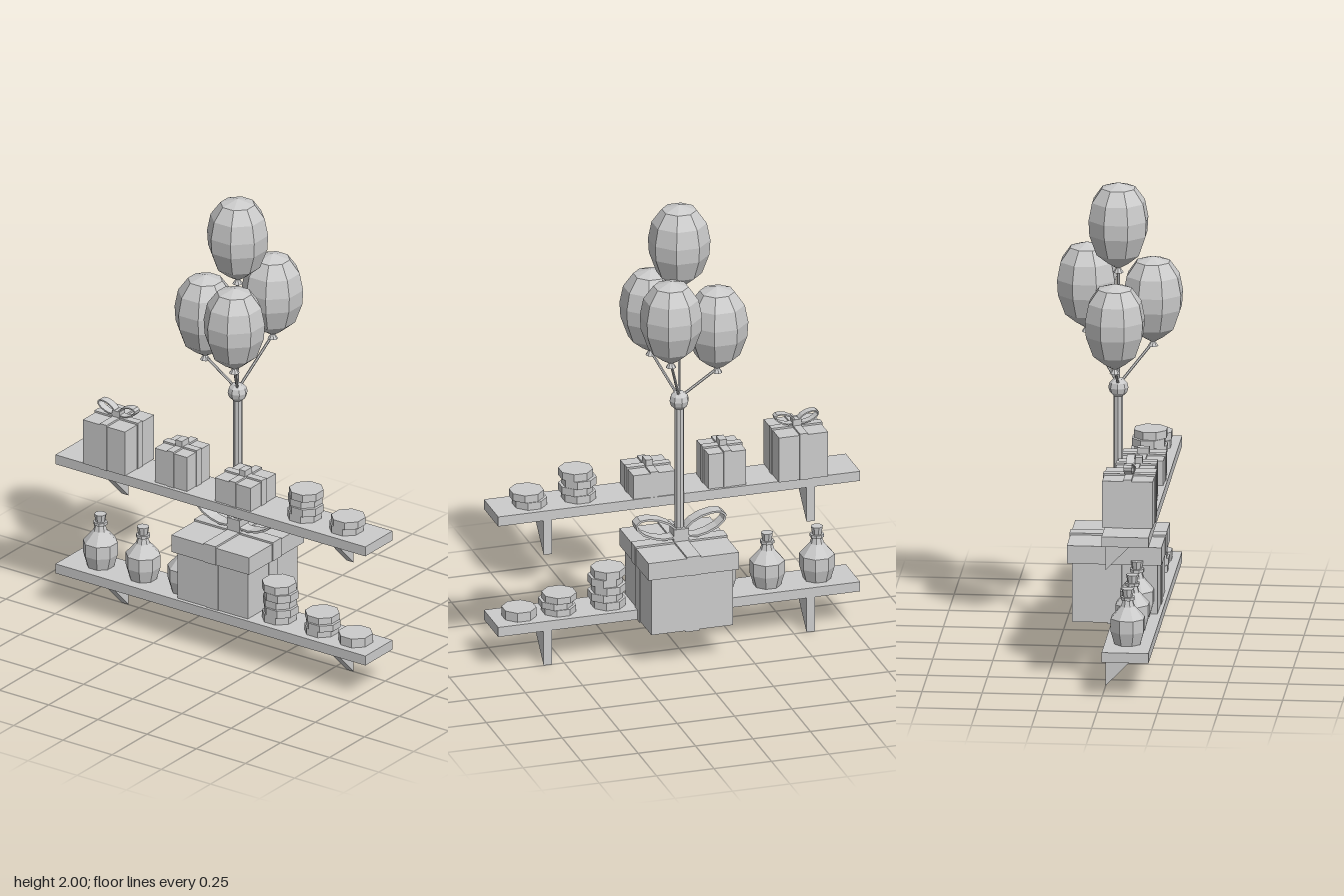
import * as THREE from 'three';

const mat = new THREE.MeshStandardMaterial({ color: 0xcccccc, flatShading: true, side: THREE.DoubleSide });

function add(parent, name, geo, x = 0, y = 0, z = 0) {
  const m = new THREE.Mesh(geo, mat);
  m.name = name;
  m.position.set(x, y, z);
  parent.add(m);
  return m;
}

function group(parent, name, x = 0, y = 0, z = 0) {
  const g = new THREE.Group();
  g.name = name;
  g.position.set(x, y, z);
  parent.add(g);
  return g;
}

const box = (w, h, d) => new THREE.BoxGeometry(w, h, d);

// Eight-sided turned shape with a flat side to the front
function turned(points) {
  return new THREE.LatheGeometry(points.map(p => new THREE.Vector2(p[0], p[1])), 8, Math.PI / 8);
}

// Straight rod between two points
function rod(parent, name, a, b, r) {
  const d = b.clone().sub(a);
  const m = add(parent, name, new THREE.CylinderGeometry(r, r, d.length(), 6));
  m.position.copy(a).addScaledVector(d, 0.5);
  m.quaternion.setFromUnitVectors(new THREE.Vector3(0, 1, 0), d.normalize());
}

// Flat board with a triangular bracket near each end
function shelf(parent, name, y) {
  const g = group(parent, name, 0, y, 0);
  add(g, 'board', box(1.575, 0.043, 0.195), 0, -0.0215, 0.0975);
  const tri = new THREE.Shape([[0, 0], [0.15, 0], [0, -0.154]].map(p => new THREE.Vector2(...p)));
  for (const s of [-1, 1]) {
    const geo = new THREE.ExtrudeGeometry(tri, { depth: 0.036, bevelEnabled: false });
    geo.translate(0, 0, -0.018).rotateY(-Math.PI / 2);
    add(g, 'bracket', geo, s * 0.572, -0.043, 0);
  }
}

// Two tilted ribbon loops and a knot
function bow(parent, y, reach, rise, width, thick, knotW, knotH) {
  const g = group(parent, 'bow', 0, y, 0);
  const a = reach * 0.5, b = rise * 0.36, tilt = Math.atan2(rise * 0.55, reach);
  const ring = new THREE.Shape().absellipse(0, 0, a, b, 0, Math.PI * 2, false, 0);
  ring.holes.push(new THREE.Path().absellipse(0, 0, a - thick, b - thick, 0, Math.PI * 2, true, 0));
  for (const s of [-1, 1]) {
    const geo = new THREE.ExtrudeGeometry(ring, { depth: width, bevelEnabled: false, curveSegments: 6 });
    geo.translate(0, 0, -width / 2).rotateZ(s * tilt);
    add(g, 'bowLoop', geo, s * reach * 0.54, rise * 0.54, 0);
  }
  add(g, 'knot', box(knotW, knotH, width * 1.15), 0, knotH / 2, 0);
}

// Two crossing ribbon bands around a box
function bands(parent, w, h, d, band, y = 0) {
  const e = 0.008;
  add(parent, 'ribbon', box(band, h + e, d + e), 0, y + (h + e) / 2, 0);
  add(parent, 'ribbon', box(w + e, h + e, band), 0, y + (h + e) / 2, 0);
}

function gift(parent, x, y, w, h, d) {
  const g = group(parent, 'gift', x, y, 0.095);
  add(g, 'giftBox', box(w, h, d), 0, h / 2, 0);
  bands(g, w, h, d, 0.034);
  return g;
}

// Pile of slightly shifted eight-sided discs
function stack(parent, x, y, n, height) {
  const g = group(parent, 'discStack', x, y, 0.095);
  const t = height / n;
  for (let i = 0; i < n; i++) {
    const geo = new THREE.CylinderGeometry(0.073, 0.073, t, 8).rotateY(Math.PI / 8);
    add(g, 'disc', geo, 0.006 * (i % 2 ? 1 : -1), t * (i + 0.5), 0.005 * Math.sin(i * 2.3));
  }
}

function bottle(parent, x, y) {
  const g = group(parent, 'bottle', x, y, 0.095);
  add(g, 'flask', turned([[0, 0], [0.058, 0], [0.074, 0.055], [0.074, 0.11], [0.03, 0.16], [0.022, 0.185],
    [0.03, 0.187], [0.03, 0.2], [0, 0.2]]));
  add(g, 'stopper', new THREE.CylinderGeometry(0.026, 0.02, 0.036, 8), 0, 0.216, 0);
}

function balloon(parent, x, top, z) {
  const g = group(parent, 'balloon', x, top, z);
  add(g, 'balloonBody', turned([[0.012, -0.365], [0.045, -0.345], [0.095, -0.305], [0.126, -0.22], [0.13, -0.155],
    [0.115, -0.08], [0.073, -0.022], [0, 0]]));
  add(g, 'balloonKnot', new THREE.CylinderGeometry(0.006, 0.022, 0.024, 8), 0, -0.374, 0);
  rod(parent, 'string', new THREE.Vector3(0, 1.13, 0), new THREE.Vector3(x, top - 0.37, z), 0.006);
}

export function createModel() {
  const model = new THREE.Group();
  model.name = 'giftShelves';
  const low = 0.197, high = 0.695;
  shelf(model, 'lowerShelf', low);
  shelf(model, 'upperShelf', high);

  // Large present with lid, ribbons and bow
  const big = group(model, 'largeGift', 0, 0.155, 0);
  add(big, 'giftBox', box(0.356, 0.27, 0.356), 0, 0.135, 0);
  add(big, 'lid', box(0.394, 0.077, 0.394), 0, 0.294, 0);
  bands(big, 0.356, 0.26, 0.356, 0.06, -0.004);
  bands(big, 0.394, 0.077, 0.394, 0.06, 0.2555);
  bow(big, 0.335, 0.195, 0.125, 0.055, 0.009, 0.065, 0.06);

  // Balloon bunch tied to a pole
  const bunch = group(model, 'balloonBunch');
  add(bunch, 'pole', new THREE.CylinderGeometry(0.02, 0.02, 0.64, 8), 0, 0.8, 0);
  add(bunch, 'tie', new THREE.SphereGeometry(0.042, 8, 6), 0, 1.12, 0);
  for (const b of [[0, 2, 0], [-0.165, 1.61, 0], [0.08, 1.665, 0.137], [0.08, 1.72, -0.138]]) balloon(bunch, ...b);

  // Upper shelf goods
  const g1 = gift(model, -0.538, high, 0.213, 0.2, 0.21);
  bow(g1, 0.205, 0.095, 0.064, 0.034, 0.006, 0.038, 0.03);
  for (const [x, w, h, d] of [[-0.214, 0.163, 0.155, 0.163], [0.107, 0.182, 0.106, 0.18]]) {
    const g = gift(model, x, high, w, h, d);
    add(g, 'knot', box(0.032, 0.034, 0.05), 0, h + 0.017, 0);
  }
  stack(model, 0.413, high, 4, 0.133);
  stack(model, 0.627, high, 2, 0.065);

  // Lower shelf goods
  for (const x of [-0.63, -0.413, -0.2]) bottle(model, x, low);
  stack(model, 0.285, low, 5, 0.17);
  stack(model, 0.5, low, 3, 0.086);
  stack(model, 0.673, low, 1, 0.04);
  return model;
}
